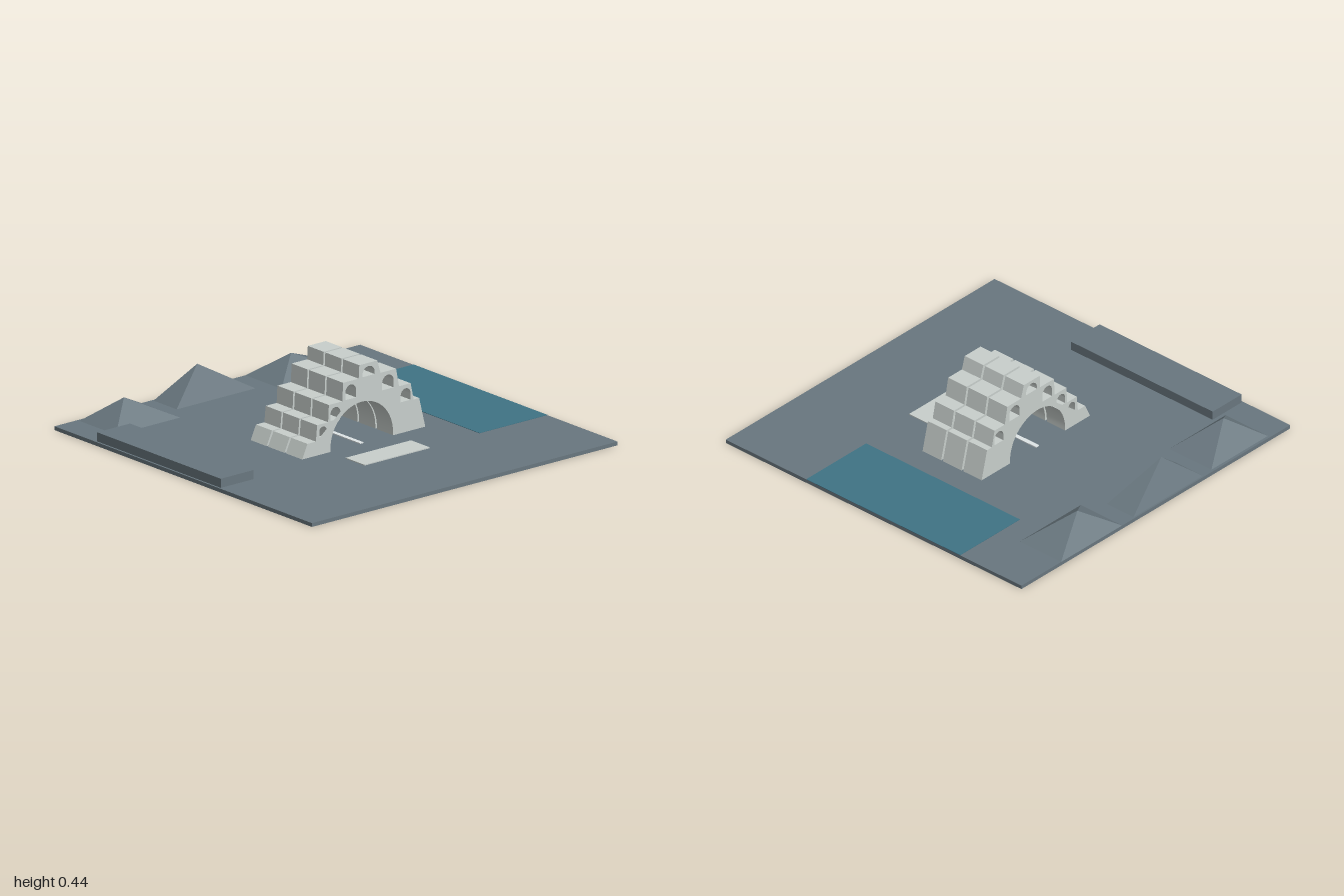
import * as THREE from 'three';
import { toCreasedNormals } from 'three/addons/utils/BufferGeometryUtils.js';

const mat = (name, color) => Object.assign(new THREE.MeshStandardMaterial({ color }), { name });

// Box given by its min and max on each axis
function block(name, material, [x0, x1], [y0, y1], [z0, z1]) {
  const mesh = new THREE.Mesh(new THREE.BoxGeometry(x1 - x0, y1 - y0, z1 - z0), material);
  mesh.position.set((x0 + x1) / 2, (y0 + y1) / 2, (z0 + z1) / 2);
  mesh.name = name;
  return mesh;
}

// Four-sided mountain with an off-centre peak
function mountain(name, material, [x0, x1], [z0, z1], peak) {
  const y = 0.02;
  const base = [[x0, y, z1], [x1, y, z1], [x1, y, z0], [x0, y, z0]];
  const pos = [];
  base.forEach((p, i) => pos.push(...p, ...base[(i + 1) % 4], ...peak));
  const geo = new THREE.BufferGeometry();
  geo.setAttribute('position', new THREE.Float32BufferAttribute(pos, 3));
  geo.computeVertexNormals();
  const mesh = new THREE.Mesh(geo, material);
  mesh.name = name;
  return mesh;
}

// Round-headed window opening
function windowHole([x0, x1, y0, y1]) {
  const r = (x1 - x0) / 2;
  const hole = new THREE.Path();
  hole.moveTo(x0, y0);
  hole.lineTo(x1, y0);
  hole.lineTo(x1, y1 - r);
  hole.absarc((x0 + x1) / 2, y1 - r, r, 0, Math.PI, false);
  hole.lineTo(x0, y0);
  return hole;
}

// Stepped outline with the big arch cut from below
function terraceShape() {
  const steps = [
    [-0.205, 0.02], [-0.39, 0.02], [-0.355, 0.095], [-0.3, 0.095], [-0.292, 0.18],
    [-0.22, 0.18], [-0.215, 0.27], [-0.127, 0.27], [-0.122, 0.367], [-0.02, 0.367],
    [-0.016, 0.437], [0.102, 0.437], [0.123, 0.367], [0.225, 0.367], [0.244, 0.27],
    [0.32, 0.27], [0.34, 0.18], [0.376, 0.18], [0.416, 0.02], [0.205, 0.02],
  ];
  const shape = new THREE.Shape(steps.map(([x, y]) => new THREE.Vector2(x, y)));
  shape.absarc(0, 0.036, 0.205, 0, Math.PI, false);
  shape.closePath();
  const windows = [
    [0.005, 0.085, 0.369, 0.42],
    [-0.107, -0.037, 0.272, 0.347], [0.134, 0.209, 0.272, 0.347],
    [-0.205, -0.14, 0.183, 0.25], [0.255, 0.32, 0.183, 0.25],
    [-0.278, -0.23, 0.097, 0.165],
    [-0.338, -0.305, 0.038, 0.083],
  ];
  shape.holes = windows.map(windowHole);
  return shape;
}

export function createModel() {
  const model = new THREE.Group();
  model.name = 'terracedArchSite';
  const slate = mat('slate', 0x69777f);
  const stone = mat('paleStone', 0xc8cfcc);
  const water = mat('water', 0x3f7385);
  const light = mat('whiteStrip', 0xe6ecee);

  // Ground, low building, pool and entrance slab
  model.add(
    block('ground', slate, [-1, 1], [0, 0.02], [-1, 1]),
    block('lowBuilding', slate, [-0.99, -0.775], [0.02, 0.068], [-0.68, 0.28]),
    block('pool', water, [0.555, 1], [0.02, 0.022], [-0.585, 0.455]),
    block('entranceSlab', stone, [-0.215, 0.213], [0.02, 0.025], [0.33, 0.475]),
    block('centreStrip', light, [-0.012, 0.012], [0.02, 0.025], [-0.2, 0.2]),
  );

  // Three parallel slices of the terraced arch
  const arch = new THREE.Group();
  arch.name = 'terracedArch';
  const shape = terraceShape();
  for (const [z0, z1] of [[-0.2, -0.076], [-0.064, 0.062], [0.074, 0.2]]) {
    const geo = new THREE.ExtrudeGeometry(shape, { depth: z1 - z0, bevelEnabled: false, curveSegments: 20 });
    const slice = new THREE.Mesh(toCreasedNormals(geo, 0.5), stone);
    slice.position.z = z0;
    slice.name = 'archSlice';
    arch.add(slice);
  }
  model.add(arch);

  // Mountains along the back edge
  model.add(
    mountain('rightMountain', slate, [-0.85, -0.43], [-0.985, -0.7], [-0.68, 0.145, -0.84]),
    mountain('middleMountain', slate, [-0.36, 0.155], [-0.99, -0.81], [-0.15, 0.193, -0.9]),
    mountain('leftMountain', slate, [0.25, 0.705], [-1, -0.72], [0.432, 0.135, -0.862]),
  );
  return model;
}
